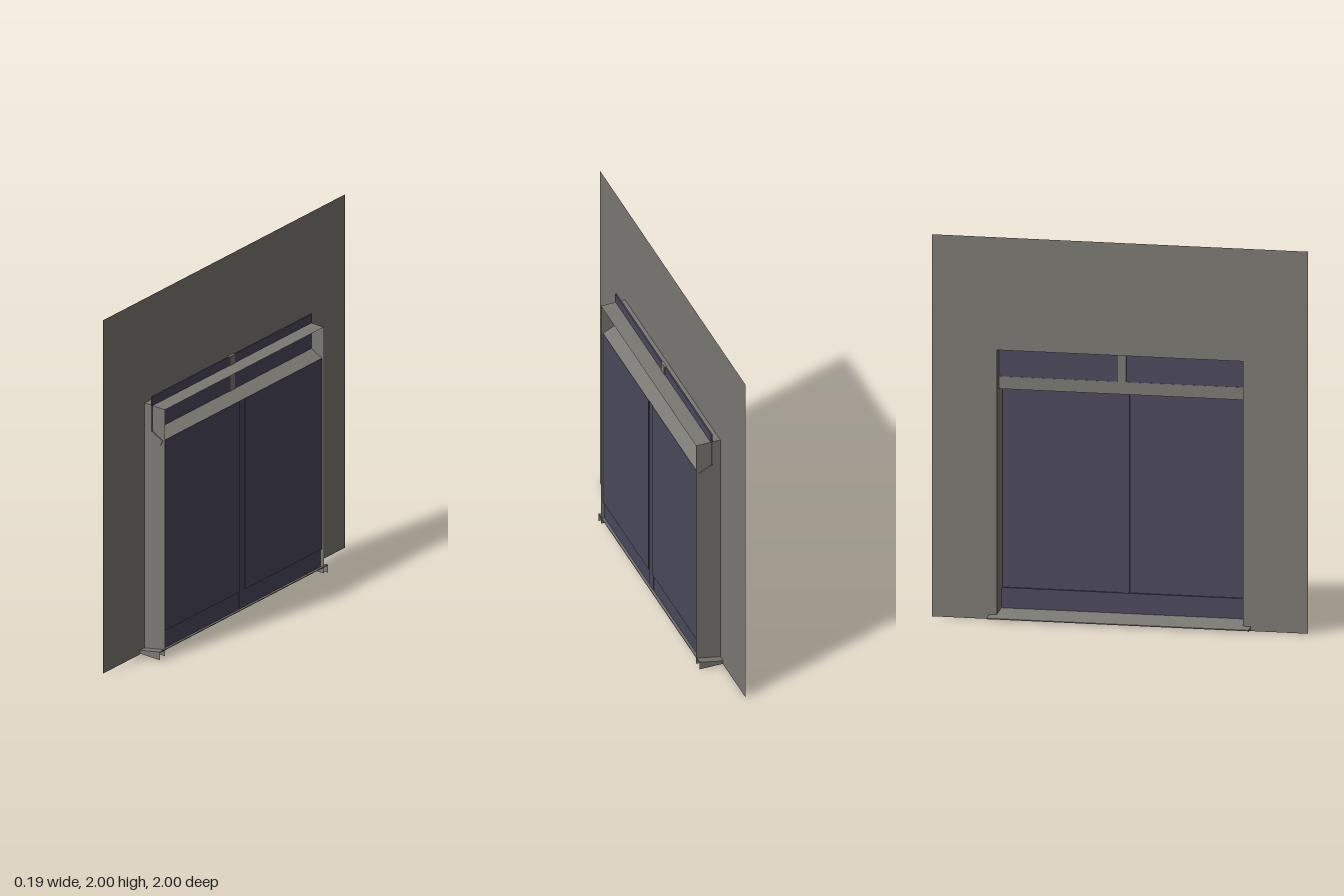
import * as THREE from 'three';

export function createModel() {
  const model = new THREE.Group();
  const stone = new THREE.MeshStandardMaterial({ color: 0x7a7872, side: THREE.DoubleSide });
  stone.name = 'warm grey';
  const glass = new THREE.MeshStandardMaterial({ color: 0x4a485b, side: THREE.DoubleSide });
  glass.name = 'dark blue glass';

  const HALF = 0.655;    // half width of the opening
  const TOP = 1.41;      // top of the opening
  const WALL_X = -0.045;

  function add(name, geometry, material) {
    const mesh = new THREE.Mesh(geometry, material);
    mesh.name = name;
    model.add(mesh);
    return mesh;
  }
  // box given by its limits on each axis
  function box(name, material, [x0, x1], [y0, y1], [z0, z1]) {
    const mesh = add(name, new THREE.BoxGeometry(x1 - x0, y1 - y0, z1 - z0), material);
    mesh.position.set((x0 + x1) / 2, (y0 + y1) / 2, (z0 + z1) / 2);
    return mesh;
  }
  const outline = (points) => new THREE.Shape(points.map(([x, y]) => new THREE.Vector2(x, y)));

  // thin wall with the window opening
  const wallShape = outline([[-1, 0], [1, 0], [1, 2], [-1, 2]]);
  wallShape.holes.push(outline([[-HALF, 0.008], [-HALF, TOP], [HALF, TOP], [HALF, 0.008]]));
  const wall = add('wall', new THREE.ShapeGeometry(wallShape), stone);
  wall.rotation.y = Math.PI / 2;
  wall.position.x = WALL_X;

  // reveal sheets lining the opening
  const depth = 0.09 - WALL_X;
  const middle = (0.09 + WALL_X) / 2;
  for (const side of [-1, 1]) {
    const reveal = add('sideReveal', new THREE.PlaneGeometry(depth, TOP - 0.015), stone);
    reveal.position.set(middle, (TOP + 0.015) / 2, side * HALF);
  }
  const head = add('topReveal', new THREE.PlaneGeometry(depth, HALF * 2), stone);
  head.rotation.x = -Math.PI / 2;
  head.position.set(middle, TOP, 0);

  // upper lights with a short mullion
  for (const side of [-1, 1]) {
    const edges = [side * 0.022, side * 0.66].sort((a, b) => a - b);
    box('upperPane', glass, [0, 0.008], [1.26, 1.46], edges);
  }
  box('upperMullion', stone, [-0.003, 0.011], [1.26, 1.46], [-0.022, 0.022]);

  // transom with a sloping top
  const transom = add('transom', new THREE.ExtrudeGeometry(
    outline([[-0.003, 1.2], [0.063, 1.2], [0.076, 1.23], [0.01, 1.265], [-0.003, 1.265]]),
    { depth: 1.32, bevelEnabled: false }), stone);
  transom.position.z = -0.66;

  // lower window leaves, centre post and recessed bottom rail
  for (const side of [-1, 1]) {
    const edges = [side * 0.025, side * 0.653].sort((a, b) => a - b);
    box('lowerPane', glass, [0.064, 0.078], [0.15, 1.23], edges);
  }
  box('centrePost', glass, [0.058, 0.073], [0.05, 1.229], [-0.025, 0.025]);
  box('bottomRail', glass, [0.05, 0.07], [0.04, 0.15], [-0.653, 0.653]);

  // sloping sill sheet with closed ends
  const sill = add('sill', new THREE.ExtrudeGeometry(
    outline([[-0.097, 0.008], [0.086, 0.046], [0.086, 0.051], [-0.097, 0.013]]),
    { depth: 1.39, bevelEnabled: false }), stone);
  sill.position.z = -0.695;
  for (const side of [-1, 1]) {
    const cap = add('sillEnd', new THREE.ShapeGeometry(
      outline([[-0.097, 0.005], [0.086, 0.005], [0.086, 0.05], [-0.097, 0.012]])), stone);
    cap.position.z = side * 0.694;
  }
  return model;
}
